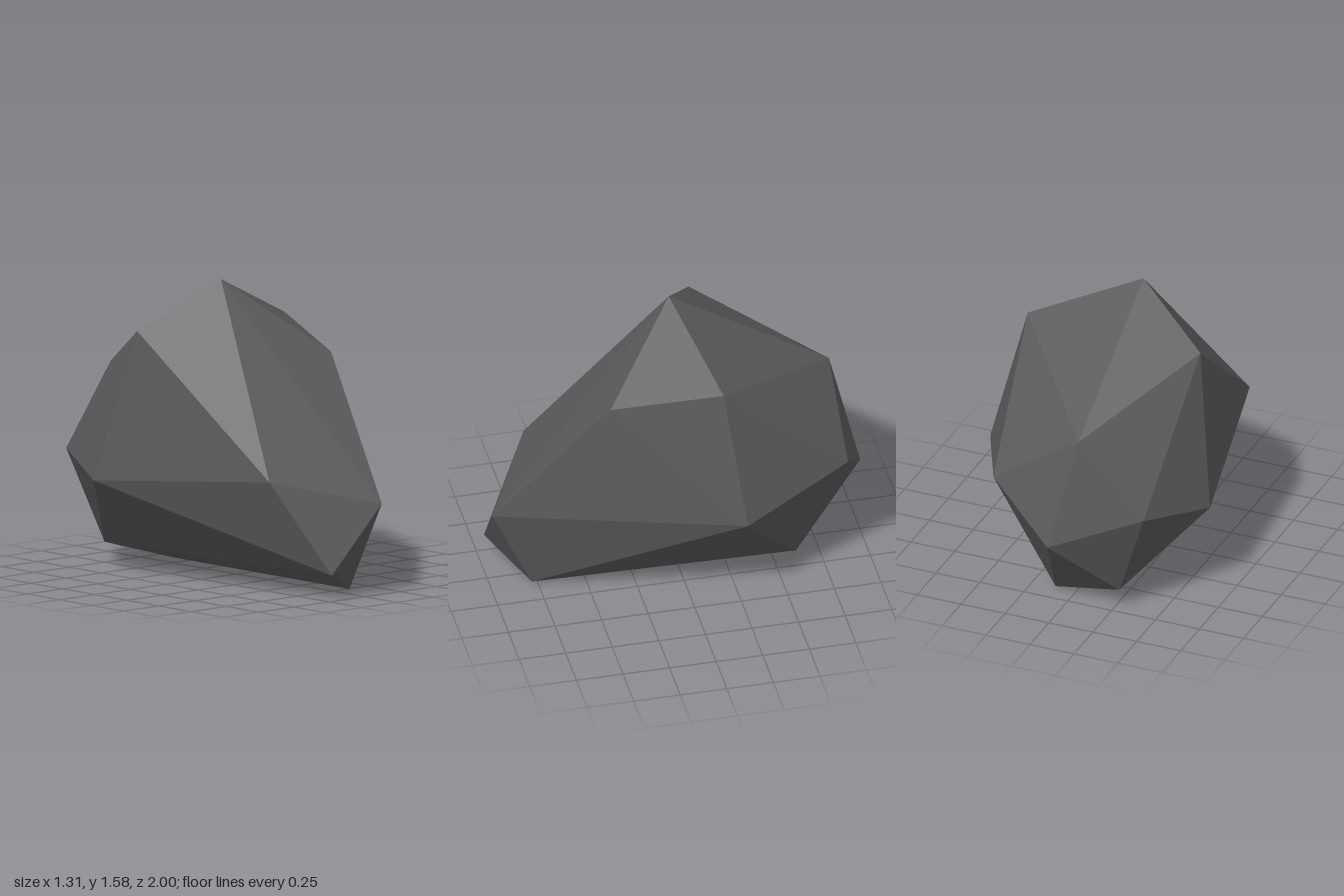
import * as THREE from 'three';
import { ConvexGeometry } from 'three/addons/geometries/ConvexGeometry.js';

export function createModel() {
  const group = new THREE.Group();
  group.name = 'rock';

  const stoneGrey = new THREE.MeshStandardMaterial({ color: 0x5a5a5a, flatShading: true });
  stoneGrey.name = 'stone grey';

  // Corners of the faceted boulder, from the peak down to the base
  const corners = [
    // peak and upper shoulders
    [-0.11, 1.575, 0.0], [-0.52, 1.32, -0.2], [0.48, 1.32, -0.16], [0.3, 1.195, 0.405],
    // upper back
    [-0.11, 1.04, -0.86], [0.38, 0.715, -0.85],
    // widest ring
    [-0.41, 0.615, 0.71], [0.12, 0.48, 1.0], [0.655, 0.59, -0.25],
    [0.01, 0.45, -1.0], [-0.46, 0.62, -0.82], [-0.655, 0.52, -0.39],
    // base
    [-0.205, 0.13, 0.97], [0.09, 0.005, 0.78], [0.12, 0, -0.63], [-0.28, 0.115, -0.72],
  ].map((p) => new THREE.Vector3(...p));

  // Flat facets wrapped around the corners
  const boulder = new THREE.Mesh(new ConvexGeometry(corners), stoneGrey);
  boulder.name = 'boulder';
  group.add(boulder);

  return group;
}
